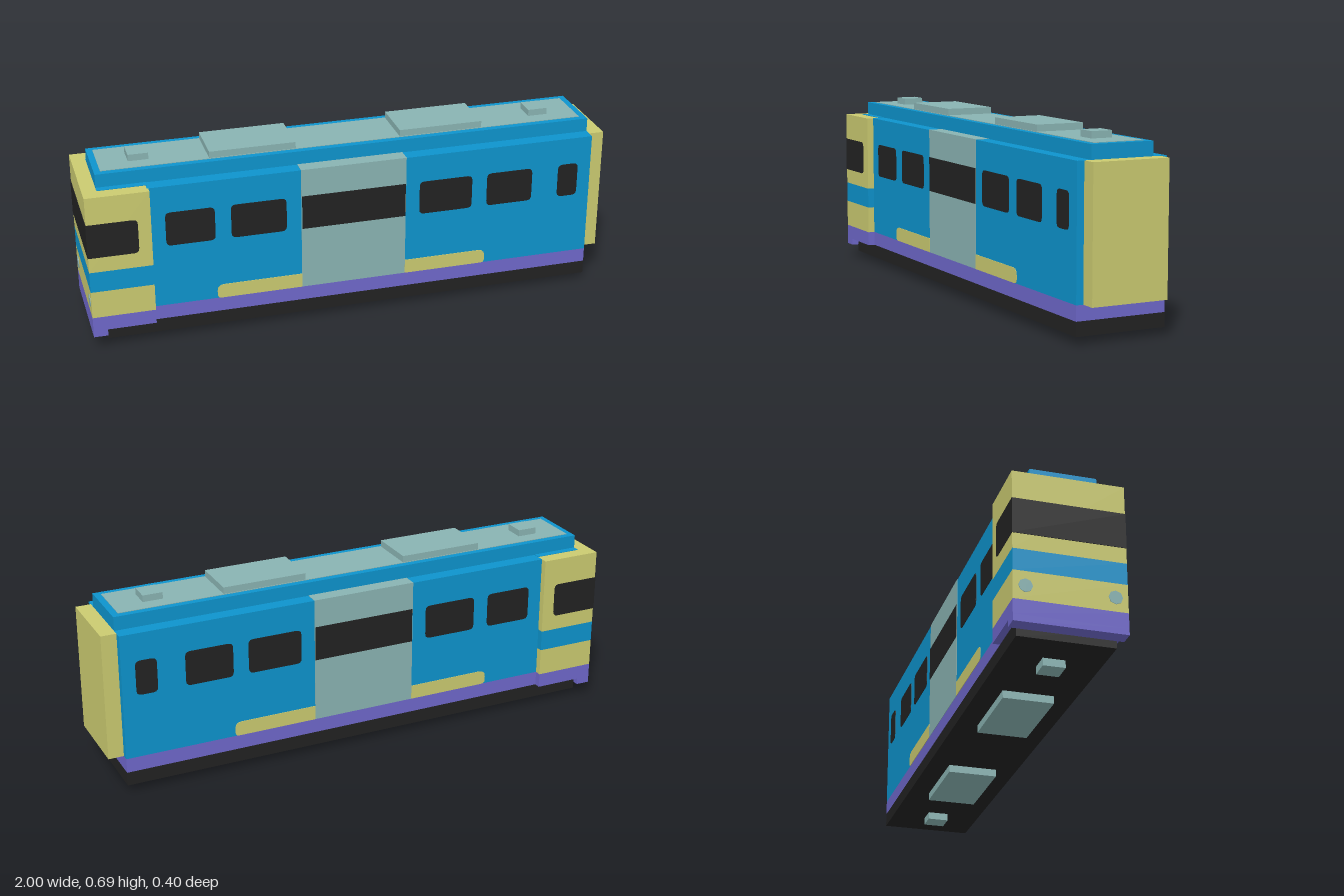
import * as THREE from 'three';

const mat = (name, color) => {
  const m = new THREE.MeshStandardMaterial({ color });
  m.name = name;
  return m;
};

export function createModel() {
  const blue = mat('blue', 0x0d93cc), yellow = mat('yellow', 0xcaca70), purple = mat('purple', 0x6e67ca);
  const teal = mat('teal', 0x89b3b2), black = mat('black', 0x222222);
  const model = new THREE.Group();
  model.name = 'railCar';

  // Box given by its extents in x and y, and in z (or half width if one number)
  const box = (name, m, x0, x1, y0, y1, z0, z1) => {
    if (z1 === undefined) { z1 = z0; z0 = -z0; }
    const mesh = new THREE.Mesh(new THREE.BoxGeometry(x1 - x0, y1 - y0, z1 - z0), m);
    mesh.position.set((x0 + x1) / 2, (y0 + y1) / 2, (z0 + z1) / 2);
    mesh.name = name;
    model.add(mesh);
    return mesh;
  };

  // Thin plate on both sides; r = corner cuts [bottom left, bottom right, top right, top left]
  const sidePlates = (name, m, x0, x1, y0, y1, z, [a, b, c, d], t = 0.002) => {
    const s = new THREE.Shape();
    s.moveTo(x0 + a, y0);
    s.lineTo(x1 - b, y0);
    s.quadraticCurveTo(x1, y0, x1, y0 + b);
    s.lineTo(x1, y1 - c);
    s.quadraticCurveTo(x1, y1, x1 - c, y1);
    s.lineTo(x0 + d, y1);
    s.quadraticCurveTo(x0, y1, x0, y1 - d);
    s.lineTo(x0, y0 + a);
    s.quadraticCurveTo(x0, y0, x0 + a, y0);
    const geo = new THREE.ExtrudeGeometry(s, { depth: t, bevelEnabled: false, curveSegments: 3 });
    for (const pz of [z, -z - t]) {
      const mesh = new THREE.Mesh(geo, m);
      mesh.position.z = pz;
      mesh.name = name;
      model.add(mesh);
    }
  };

  // Main body, skirt and underframe
  box('underframe', black, -0.945, 0.942, 0.028, 0.08, 0.173);
  box('skirt', purple, -0.77, 0.942, 0.08, 0.135, 0.173);
  box('body', blue, -0.77, 0.942, 0.135, 0.615, 0.173);
  box('gangway', yellow, 0.942, 1, 0.135, 0.615, 0.146);

  // Roof with its top panel
  box('roof', blue, -0.945, 0.942, 0.615, 0.667, 0.12);
  box('roofPanel', teal, -0.922, 0.917, 0.667, 0.669, 0.096);

  // Equipment boxes on the roof and below the floor
  for (const [y0, y1, place] of [[0.667, 0.694, 'roof'], [0, 0.028, 'floor']]) {
    for (const [x0, x1] of [[-0.525, -0.202], [0.198, 0.52]]) box(place + 'Unit', teal, x0, x1, y0, y1, 0.093);
    for (const [x0, x1] of [[-0.813, -0.738], [0.731, 0.806]]) box(place + 'SmallUnit', teal, x0, x1, y0, y1, 0.04);
  }

  // Doors, which also show on the shoulders of the roof
  box('doors', teal, -0.204, 0.2, 0.135, 0.6165, 0.1745);
  sidePlates('doorWindow', black, -0.201, 0.198, 0.378, 0.51, 0.1745, [0, 0, 0, 0]);

  // Side windows
  for (const [x0, x1] of [[-0.71, -0.528], [-0.468, -0.26], [0.254, 0.462], [0.522, 0.704], [0.81, 0.89]]) {
    sidePlates('window', black, x0, x1, 0.378, 0.51, 0.173, [0.018, 0.018, 0.018, 0.018]);
  }

  // Yellow strips beside the doors
  sidePlates('sideStrip', yellow, -0.528, -0.204, 0.135, 0.19, 0.173, [0.015, 0, 0, 0.025]);
  sidePlates('sideStrip', yellow, 0.2, 0.522, 0.135, 0.19, 0.173, [0, 0.015, 0.025, 0]);

  // Cab, built from coloured bands
  const bands = [
    ['cabSkirt', purple, 0.08, 0.135], ['cabLower', yellow, 0.135, 0.24],
    ['cabStripe', blue, 0.24, 0.32], ['cabUpper', yellow, 0.32, 0.615],
  ];
  for (const [name, m, y0, y1] of bands) box(name, m, -0.998, -0.765, y0, y1, 0.199);
  box('cabLip', purple, -0.998, -0.945, 0.055, 0.08, 0.199);
  box('cabRoofInset', blue, -0.945, -0.764, 0.615, 0.6165, 0.146);

  // Cab windows wrap around the end
  box('windscreen', black, -1, -0.998, 0.378, 0.51, 0.2);
  sidePlates('cabWindow', black, -0.999, -0.813, 0.378, 0.51, 0.199, [0, 0.018, 0.018, 0], 0.001);

  // End lamps
  for (const s of [-1, 1]) {
    const lamp = new THREE.Mesh(new THREE.CylinderGeometry(0.025, 0.025, 0.002, 8), teal);
    lamp.rotation.z = Math.PI / 2;
    lamp.position.set(-0.999, 0.187, s * 0.155);
    lamp.name = 'lamp';
    model.add(lamp);
  }
  return model;
}
